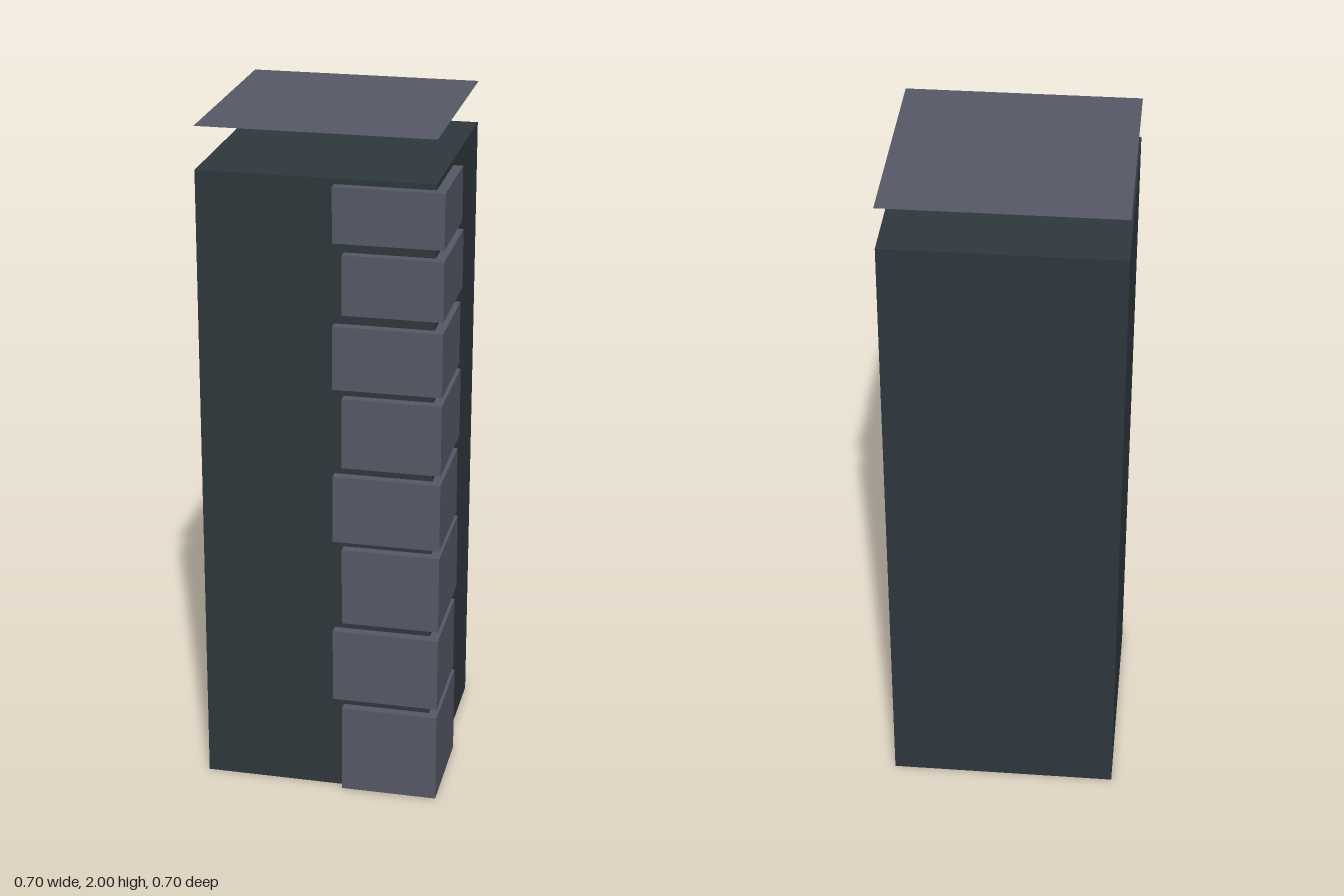
import * as THREE from 'three';

export function createModel() {
  const model = new THREE.Group();
  const wall = new THREE.MeshStandardMaterial({ color: 0x2e373c });
  wall.name = 'dark slate';
  const stone = new THREE.MeshStandardMaterial({ color: 0x555865, side: THREE.DoubleSide });
  stone.name = 'grey stone';

  // Box given by its lower and upper corners
  const block = (name, material, [x0, y0, z0], [x1, y1, z1]) => {
    const mesh = new THREE.Mesh(new THREE.BoxGeometry(x1 - x0, y1 - y0, z1 - z0), material);
    mesh.position.set((x0 + x1) / 2, (y0 + y1) / 2, (z0 + z1) / 2);
    mesh.name = name;
    return mesh;
  };

  // Square pillar core
  const back = -0.35, face = 0.322, outer = 0.35;
  model.add(block('pillarCore', wall, [back, 0, back], [face, 1.877, face]));

  // Corner stones, long side alternating between the front and the side
  const courses = [
    [0.003, 0.273], [0.302, 0.525], [0.554, 0.787], [0.811, 1.013],
    [1.042, 1.251], [1.277, 1.463], [1.497, 1.67], [1.702, 1.861],
  ];
  const quoins = new THREE.Group();
  quoins.name = 'cornerStones';
  courses.forEach(([y0, y1], i) => {
    const [x0, z0] = i % 2 ? [0.04, 0.067] : [0.067, 0.04];
    quoins.add(block(`cornerStone${i + 1}`, stone, [x0, y0, z0], [outer, y1, outer]));
  });
  model.add(quoins);

  // Thin cap sheet floating over the pillar
  const cap = new THREE.Mesh(new THREE.PlaneGeometry(face - back, face - back), stone);
  cap.name = 'capSheet';
  cap.rotation.x = -Math.PI / 2;
  cap.position.set((back + face) / 2, 2, (back + face) / 2);
  model.add(cap);

  return model;
}
